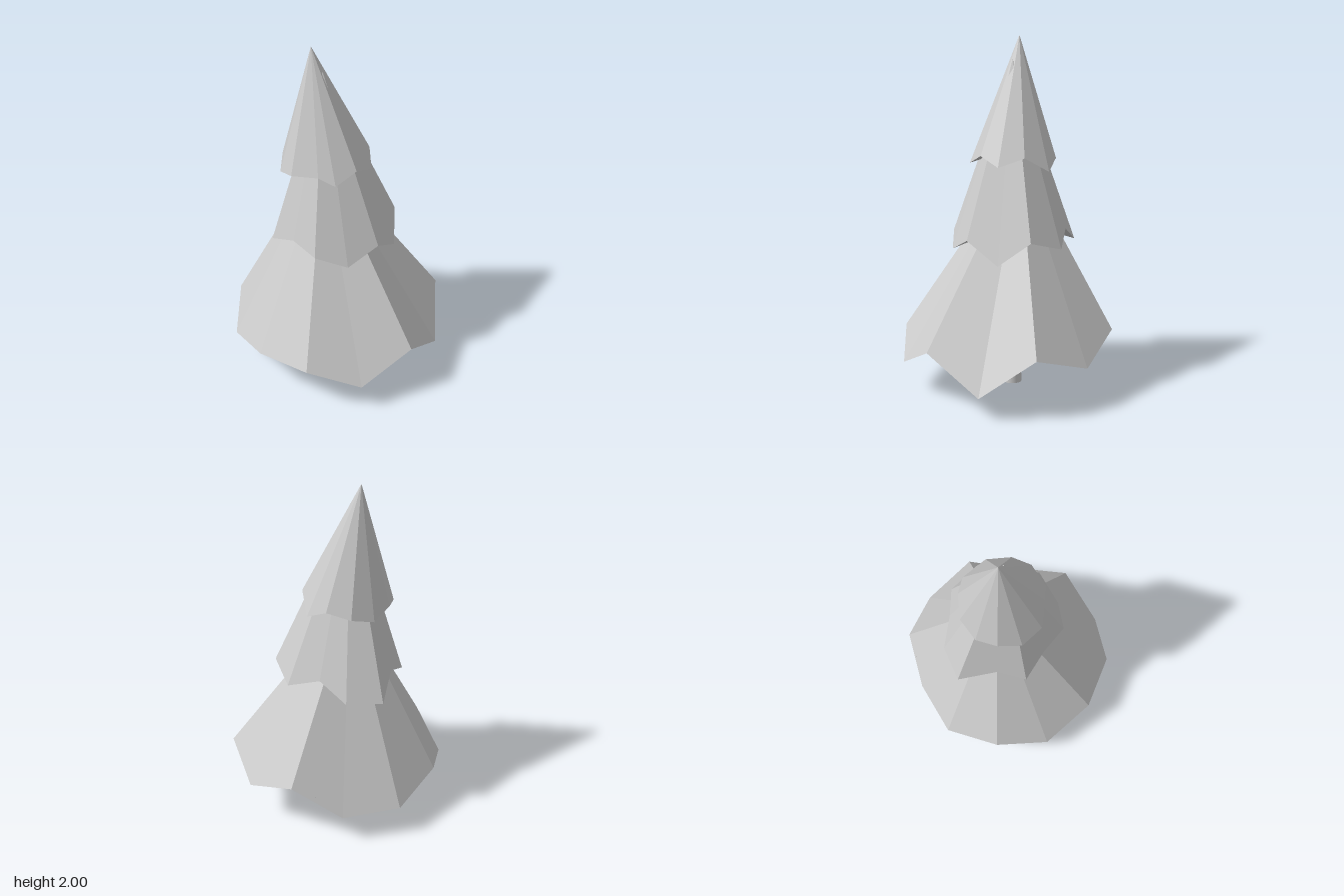
import * as THREE from 'three';

const bark = new THREE.MeshStandardMaterial({ color: 0xcccccc });
const foliage = new THREE.MeshStandardMaterial({ color: 0xcccccc, flatShading: true, side: THREE.DoubleSide });

// Foliage tiers: leaning apex, centre of the underside, zigzag rim (clockwise from the back)
const tiers = [
  {
    name: 'lowerFoliage', apex: [-0.01, 1.31, -0.11], hub: [0.02, 0.36, -0.02],
    rim: [[-0.02, 0.19, -0.62], [0.29, 0.175, -0.5], [0.52, 0.37, -0.33], [0.615, 0.24, -0.03],
      [0.545, 0.345, 0.29], [0.33, 0.13, 0.515], [0.02, 0.33, 0.615], [-0.29, 0.17, 0.535],
      [-0.525, 0.29, 0.33], [-0.615, 0.28, 0.025], [-0.545, 0.18, -0.295], [-0.33, 0.28, -0.52]],
  },
  {
    name: 'middleFoliage', apex: [-0.035, 1.87, -0.075], hub: [0.02, 0.95, -0.06],
    rim: [[0, 0.825, -0.46], [0.18, 0.83, -0.365], [0.255, 0.93, -0.215], [0.37, 0.86, -0.065],
      [0.33, 0.92, 0.13], [0.205, 0.79, 0.26], [0.02, 0.91, 0.32], [-0.16, 0.82, 0.27],
      [-0.295, 0.885, 0.145], [-0.295, 0.9, -0.04], [-0.305, 0.82, -0.215], [-0.16, 0.9, -0.305]],
  },
  {
    name: 'upperFoliage', apex: [-0.055, 2, -0.145], hub: [-0.02, 1.37, -0.07],
    rim: [[-0.03, 1.265, -0.32], [0.1, 1.3, -0.29], [0.195, 1.33, -0.19], [0.25, 1.275, -0.085],
      [0.195, 1.36, 0.05], [0.105, 1.31, 0.165], [-0.02, 1.36, 0.18], [-0.145, 1.3, 0.15],
      [-0.2, 1.34, 0.07], [-0.28, 1.325, -0.06], [-0.25, 1.275, -0.19], [-0.155, 1.31, -0.285]],
  },
];

// Faceted cone: a fan up to the apex and a fan closing the underside
function makeTier({ name, apex, hub, rim }) {
  const pos = [];
  rim.forEach((p, i) => {
    const q = rim[(i + 1) % rim.length];
    pos.push(...apex, ...q, ...p, ...hub, ...p, ...q);
  });
  const geo = new THREE.BufferGeometry();
  geo.setAttribute('position', new THREE.Float32BufferAttribute(pos, 3));
  geo.computeVertexNormals();
  const mesh = new THREE.Mesh(geo, foliage);
  mesh.name = name;
  return mesh;
}

// Tapered limb: a tube whose rings shrink towards the tip
function makeBranch(points, r0, r1) {
  const curve = new THREE.CatmullRomCurve3(points.map((p) => new THREE.Vector3(...p)));
  const rows = 12, sides = 10;
  const geo = new THREE.TubeGeometry(curve, rows, 1, sides);
  const pos = geo.attributes.position, v = new THREE.Vector3();
  for (let i = 0; i < pos.count; i++) {
    const t = Math.floor(i / (sides + 1)) / rows;
    const c = curve.getPointAt(t);
    v.fromBufferAttribute(pos, i).sub(c).multiplyScalar(r0 + (r1 - r0) * t).add(c);
    pos.setXYZ(i, v.x, v.y, v.z);
  }
  geo.computeVertexNormals();
  return new THREE.Mesh(geo, bark);
}

export function createModel() {
  const model = new THREE.Group();
  model.name = 'pineTree';
  tiers.forEach((t) => model.add(makeTier(t)));

  // Trunk
  const trunk = new THREE.Mesh(new THREE.CylinderGeometry(0.03, 0.055, 0.36, 20), bark);
  trunk.position.set(0.025, 0.18, -0.02);
  trunk.name = 'trunk';
  model.add(trunk);

  // Bare branches spreading under the lowest tier
  const branches = new THREE.Group();
  branches.name = 'branches';
  [[0.41, 0.31, -0.4], [0.38, 0.285, 0.31], [-0.4, 0.26, 0.1], [-0.16, 0.28, -0.24]].forEach(([x, y, z]) => {
    const at = (t, h) => [0.025 + (x - 0.025) * t, h, -0.02 + (z + 0.02) * t];
    const branch = makeBranch([at(0, 0.285), at(0.35, 0.258), at(0.7, 0.257), at(1, y)], 0.024, 0.004);
    branch.name = 'branch';
    branches.add(branch);
  });
  model.add(branches);
  return model;
}
